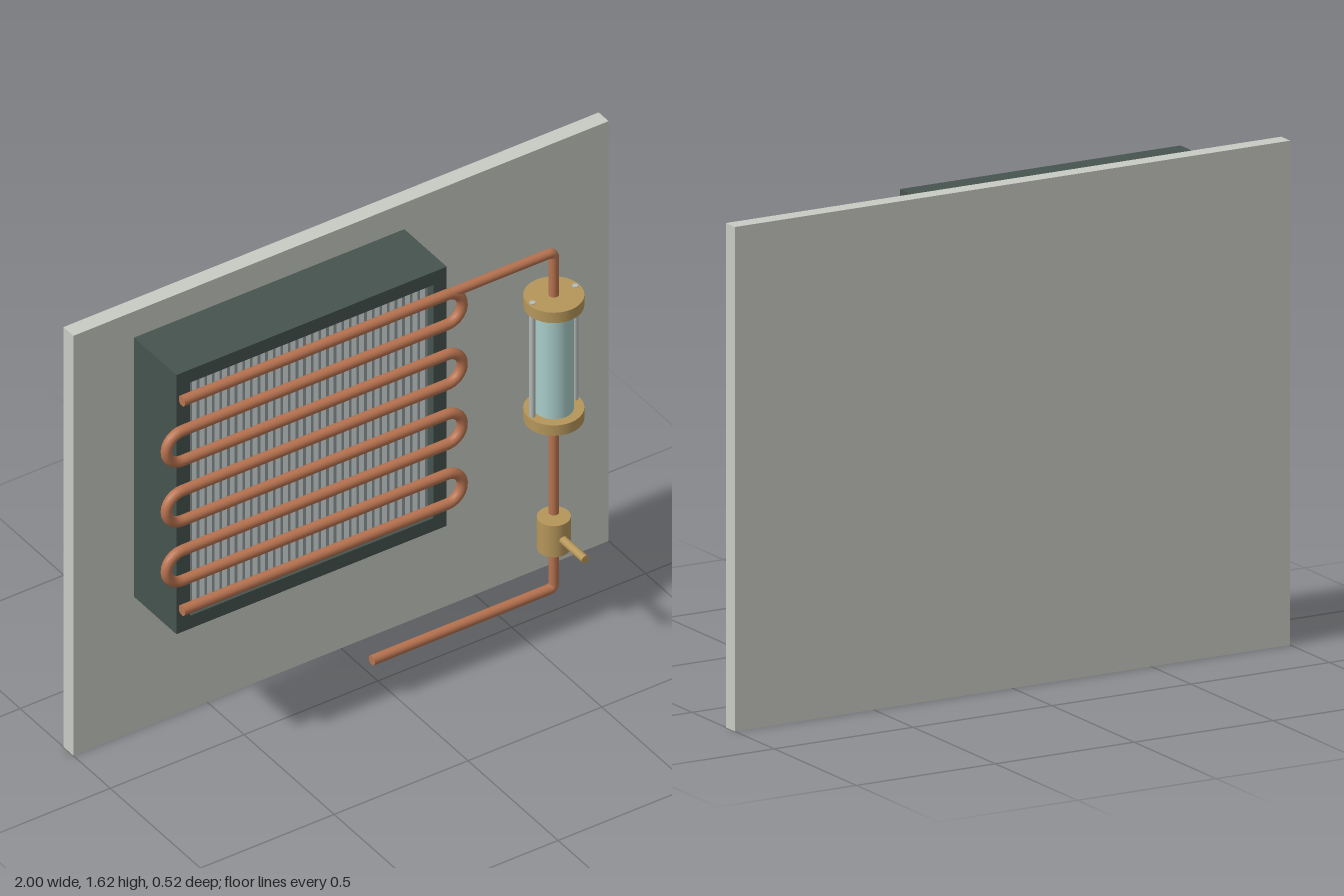
import * as THREE from 'three';

const paint = (name, color) => {
  const m = new THREE.MeshStandardMaterial({ color });
  m.name = name;
  return m;
};

export function createModel() {
  const boardGrey = paint('board grey', 0xc8cbc4);
  const darkGreen = paint('dark green grey', 0x46534f);
  const finGrey = paint('fin grey', 0x969b9b);
  const steel = paint('pale steel', 0xb4bbba);
  const copper = paint('copper', 0xb87350);
  const brass = paint('brass', 0xb5965a);
  const glass = paint('pale glass', 0xa9cdc9);

  const model = new THREE.Group();
  model.name = 'coolingRig';
  const PIPE_Z = 0.085, LINE_X = 0.6, R = 0.018;
  const V = (x, y) => new THREE.Vector3(x, y, PIPE_Z);

  const add = (name, geometry, material, x = 0, y = 0, z = 0, parent = model) => {
    const mesh = new THREE.Mesh(geometry, material);
    mesh.name = name;
    mesh.position.set(x, y, z);
    parent.add(mesh);
    return mesh;
  };
  // Upright cylinder on the right-hand pipe line, between two heights
  const upright = (name, r, y0, y1, material, dx = 0, sides = 32) =>
    add(name, new THREE.CylinderGeometry(r, r, y1 - y0, sides), material, LINE_X + dx, (y0 + y1) / 2, PIPE_Z);
  // Pipe swept along a path, with flat discs closing both ends
  const pipe = (name, path, segments, r = R) => {
    const group = new THREE.Group();
    group.name = name;
    add(name + 'Tube', new THREE.TubeGeometry(path, segments, r, 16), copper, 0, 0, 0, group);
    for (const t of [0, 1]) {
      const p = path.getPointAt(t);
      const dir = path.getTangentAt(t).multiplyScalar(t ? 1 : -1);
      const cap = add(name + 'End', new THREE.CircleGeometry(r, 16), copper, p.x, p.y, p.z, group);
      cap.quaternion.setFromUnitVectors(new THREE.Vector3(0, 0, 1), dir);
    }
    model.add(group);
  };
  // Two straight runs joined by a tight elbow
  const elbow = (a, corner, b, r = 0.02) => {
    const p = corner.clone().add(a.clone().sub(corner).setLength(r));
    const q = corner.clone().add(b.clone().sub(corner).setLength(r));
    const path = new THREE.CurvePath();
    path.add(new THREE.LineCurve3(a, p));
    path.add(new THREE.QuadraticBezierCurve3(p, corner, q));
    path.add(new THREE.LineCurve3(q, b));
    return path;
  };

  // Backing board
  add('backBoard', new THREE.BoxGeometry(2, 1.62, 0.055), boardGrey, 0, 0.81, -0.2325);

  // Condenser housing: a square frame open at front and back
  const x0 = -0.8, x1 = 0.21, y0 = 0.555, y1 = 1.555, wall = 0.05;
  const rect = (S, a, b, c, d) => new S([[a, b], [c, b], [c, d], [a, d]].map(p => new THREE.Vector2(...p)));
  const frame = rect(THREE.Shape, x0, y0, x1, y1);
  frame.holes.push(rect(THREE.Path, x0 + wall, y0 + wall, x1 - wall, y1 - wall));
  add('condenserFrame', new THREE.ExtrudeGeometry(frame, { depth: 0.235, bevelEnabled: false }),
    darkGreen, 0, 0, -0.165);

  // Cooling fins
  const fins = new THREE.Group();
  fins.name = 'coolingFins';
  const finGeometry = new THREE.BoxGeometry(0.01, y1 - y0 - 2 * wall, 0.2);
  const count = 32;
  for (let i = 0; i < count; i++) {
    add('fin', finGeometry, finGrey, x0 + wall + (i + 0.5) * (x1 - x0 - 2 * wall) / count,
      (y0 + y1) / 2, -0.0475, fins);
  }
  model.add(fins);

  // Serpentine coil: eight rows joined by half-round bends
  const rows = 8, pitch = 0.1155, top = 1.46, left = -0.79, right = 0.2;
  const coil = new THREE.CurvePath();
  for (let i = 0; i < rows; i++) {
    const y = top - i * pitch;
    const toRight = i % 2 === 0;
    const [a, b] = toRight ? [left, right] : [right, left];
    coil.add(new THREE.LineCurve3(V(a, y), V(b, y)));
    if (i === rows - 1) break;
    const bend = new THREE.Curve();
    bend.getPoint = (t, out = new THREE.Vector3()) => out.set(
      b + (toRight ? 1 : -1) * Math.sin(Math.PI * t) * pitch / 2,
      y - pitch / 2 + Math.cos(Math.PI * t) * pitch / 2, PIPE_Z);
    coil.add(bend);
  }
  pipe('condenserCoil', coil, 600);

  // Connecting pipes
  pipe('feedPipe', elbow(V(right, top), V(LINE_X, top), V(LINE_X, 1.28)), 80, 0.016);
  pipe('outletPipe', elbow(V(LINE_X, 0.33), V(LINE_X, 0.165), V(-0.08, 0.165)), 100, 0.017);
  upright('middlePipe', 0.017, 0.455, 0.83, copper, 0, 16);

  // Sight glass between brass flanges, held by tie rods
  upright('sightGlass', 0.063, 0.86, 1.255, glass);
  upright('lowerFlange', 0.095, 0.82, 0.86, brass);
  upright('upperFlange', 0.095, 1.255, 1.295, brass);
  for (const side of [-1, 1]) upright('tieRod', 0.01, 0.817, 1.298, steel, side * 0.08, 12);

  // Valve with a forward-pointing stem
  upright('valveBody', 0.053, 0.32, 0.44, brass);
  const stem = add('valveStem', new THREE.CylinderGeometry(0.014, 0.014, 0.175, 16), brass, LINE_X, 0.38, 0.1725);
  stem.rotation.x = Math.PI / 2;

  return model;
}
